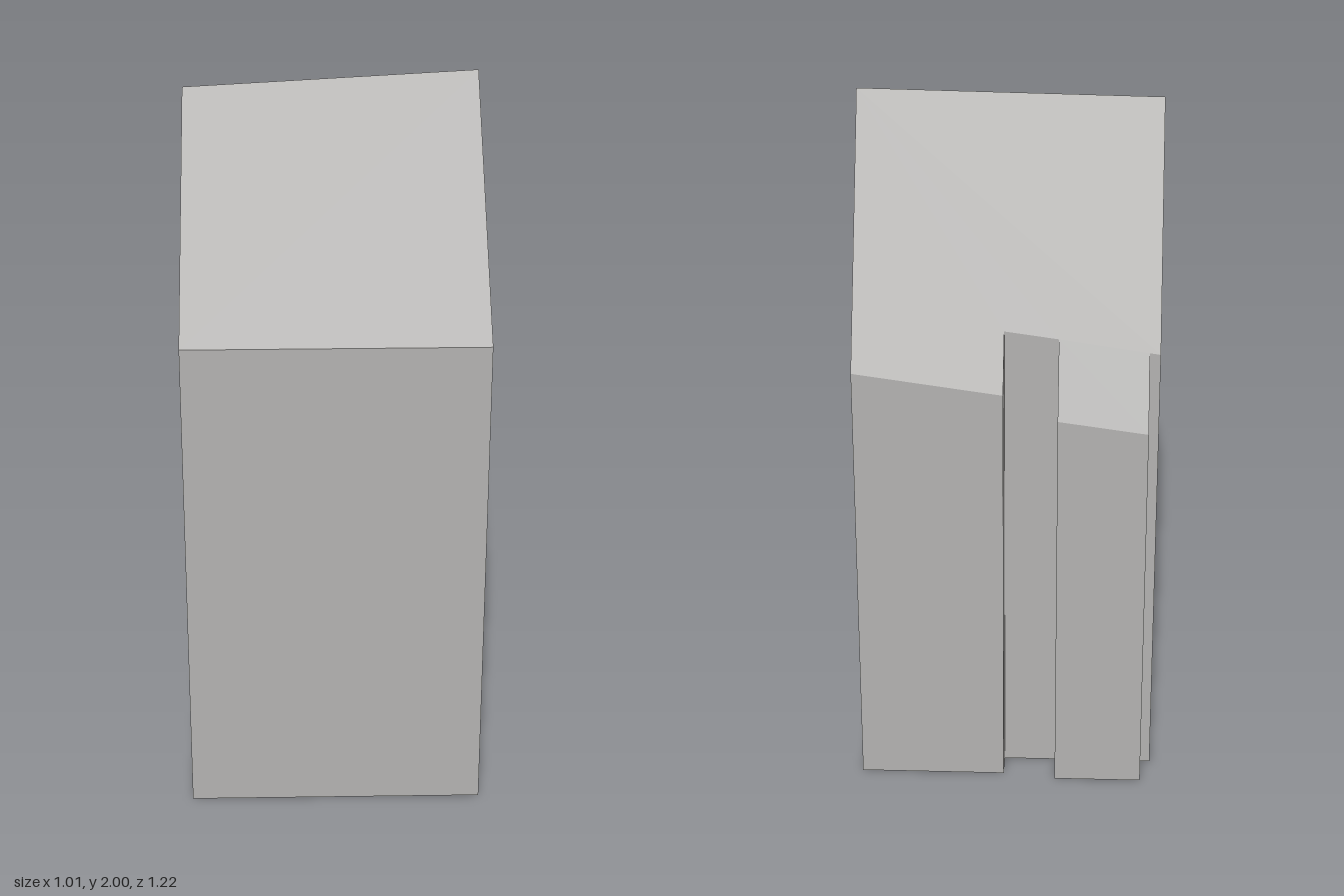
import * as THREE from 'three';

// Footprint corners as [x, z, eaves or ridge height], counter-clockwise from above
const ridge = { left: [-0.396, -0.21, 1.97], right: [0.445, -0.118, 2] };
const frontCorners = [[-0.506, 0.474, 1.48], [0.328, 0.608, 1.48]];
// The rear roof is one plane, so each rear corner takes its height from it
const rearHeight = (x, z) => 2 - 0.185 * (x - 0.445) + 2.016 * (z + 0.118);
const rearCorners = [
  [0.503, -0.46], [0.092, -0.527], [0.079, -0.45], [-0.069, -0.474], [-0.053, -0.573],
  [-0.3, -0.613], [-0.315, -0.515], [-0.345, -0.52],
].map(([x, z]) => [x, z, rearHeight(x, z)]);

function makeMesh(name, positions, material) {
  const geometry = new THREE.BufferGeometry();
  geometry.setAttribute('position', new THREE.Float32BufferAttribute(positions, 3));
  geometry.computeVertexNormals();
  const mesh = new THREE.Mesh(geometry, material);
  mesh.name = name;
  return mesh;
}

// Flat face over an outline, at each corner's own height or on the ground
function cap(outline, onGround = false) {
  const flat = outline.map(([x, z]) => new THREE.Vector2(x, -z));
  const faces = THREE.ShapeUtils.triangulateShape(flat, []);
  return faces.flatMap((face) => (onGround ? [...face].reverse() : face).flatMap((i) => {
    const [x, z, y] = outline[i];
    return [x, onGround ? 0 : y, z];
  }));
}

// Upright walls around the closed outline
function walls(outline) {
  return outline.flatMap(([x0, z0, y0], i) => {
    const [x1, z1, y1] = outline[(i + 1) % outline.length];
    return [x0, 0, z0, x1, 0, z1, x1, y1, z1, x0, 0, z0, x1, y1, z1, x0, y0, z0];
  });
}

export function createModel() {
  const group = new THREE.Group();
  group.name = 'gabledBuilding';
  const grey = new THREE.MeshStandardMaterial({ color: 0xb3b2b0 });
  grey.name = 'warm grey';

  const outline = [...frontCorners, ridge.right, ...rearCorners, ridge.left];
  group.add(
    makeMesh('walls', walls(outline), grey),
    makeMesh('frontRoof', cap([...frontCorners, ridge.right, ridge.left]), grey),
    makeMesh('rearRoof', cap([ridge.right, ...rearCorners, ridge.left]), grey),
    makeMesh('floor', cap(outline, true), grey),
  );
  return group;
}
